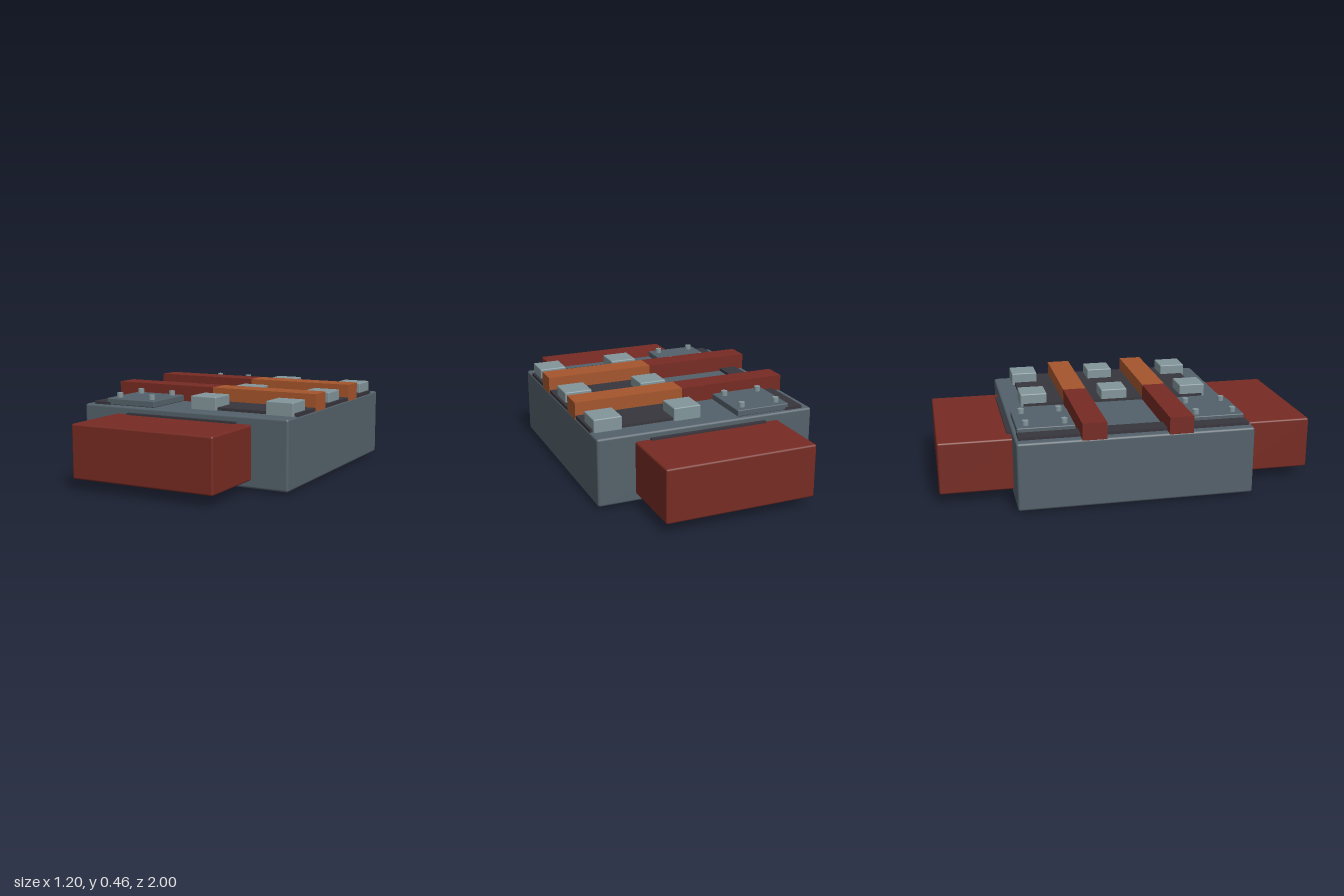
import * as THREE from 'three';
import { RoundedBoxGeometry } from 'three/addons/geometries/RoundedBoxGeometry.js';

const paint = (name, color) => {
  const m = new THREE.MeshStandardMaterial({ color });
  m.name = name;
  return m;
};

export function createModel() {
  const model = new THREE.Group();
  model.name = 'armouredModule';
  const steel = paint('steelBlue', 0x54616a);
  const dark = paint('charcoal', 0x38363d);
  const pale = paint('paleSteel', 0x82959a);
  const red = paint('oxideRed', 0x762b23);
  const orange = paint('rustOrange', 0xa5552c);

  // Box given by its extents; a radius rounds the edges
  const box = (name, mat, [x0, x1], [y0, y1], [z0, z1], radius = 0) => {
    const size = [x1 - x0, y1 - y0, z1 - z0];
    const geo = radius ? new RoundedBoxGeometry(...size, 2, radius) : new THREE.BoxGeometry(...size);
    const mesh = new THREE.Mesh(geo, mat);
    mesh.name = name;
    mesh.position.set((x0 + x1) / 2, (y0 + y1) / 2, (z0 + z1) / 2);
    model.add(mesh);
  };
  const around = (c, half) => [c - half, c + half];

  // Main hull and the inlaid deck panels
  box('hull', steel, [-0.6, 0.6], [0.015, 0.375], [-0.618, 0.618], 0.012);
  box('sideDeckStrip', dark, [-0.55, -0.45], [0.36, 0.39], [-0.602, 0.602]);
  box('deckPanel', dark, [0, 0.597], [0.36, 0.39], [-0.51, 0.51]);

  // Pale blocks in two columns of three
  for (const x of [0.077, 0.508])
    for (const z of [-0.453, 0, 0.453])
      box('deckBlock', pale, around(x, 0.075), [0.365, 0.444], around(z, 0.073), 0.006);

  for (const s of [-1, 1]) {
    // End blocks with a slot strip above each
    box('endBlock', red, [-0.4, 0.4], [0.056, 0.335], around(s * 0.8, 0.2), 0.01);
    box('endStrip', dark, [-0.32, 0.32], [0.315, 0.345], around(s * 0.62, 0.018));
    // Two-colour cross rails
    box('railRed', red, [-0.6, 0], [0.37, 0.46], around(s * 0.225, 0.063));
    box('railOrange', orange, [0, 0.6], [0.37, 0.46], around(s * 0.225, 0.063));
    // Skids beneath
    box('skid', dark, [-0.425, 0.425], [0, 0.03], around(s * 0.45, 0.025));
    // Bolted cover plates
    box('coverPlate', steel, [-0.47, -0.174], [0.376, 0.411], around(s * 0.45, 0.15), 0.005);
    for (const x of [-0.42, -0.22])
      for (const z of [0.35, 0.55]) {
        const bolt = new THREE.Mesh(new THREE.CylinderGeometry(0.017, 0.017, 0.035, 12), pale);
        bolt.name = 'bolt';
        bolt.position.set(x, 0.419, s * z);
        model.add(bolt);
      }
  }
  return model;
}
